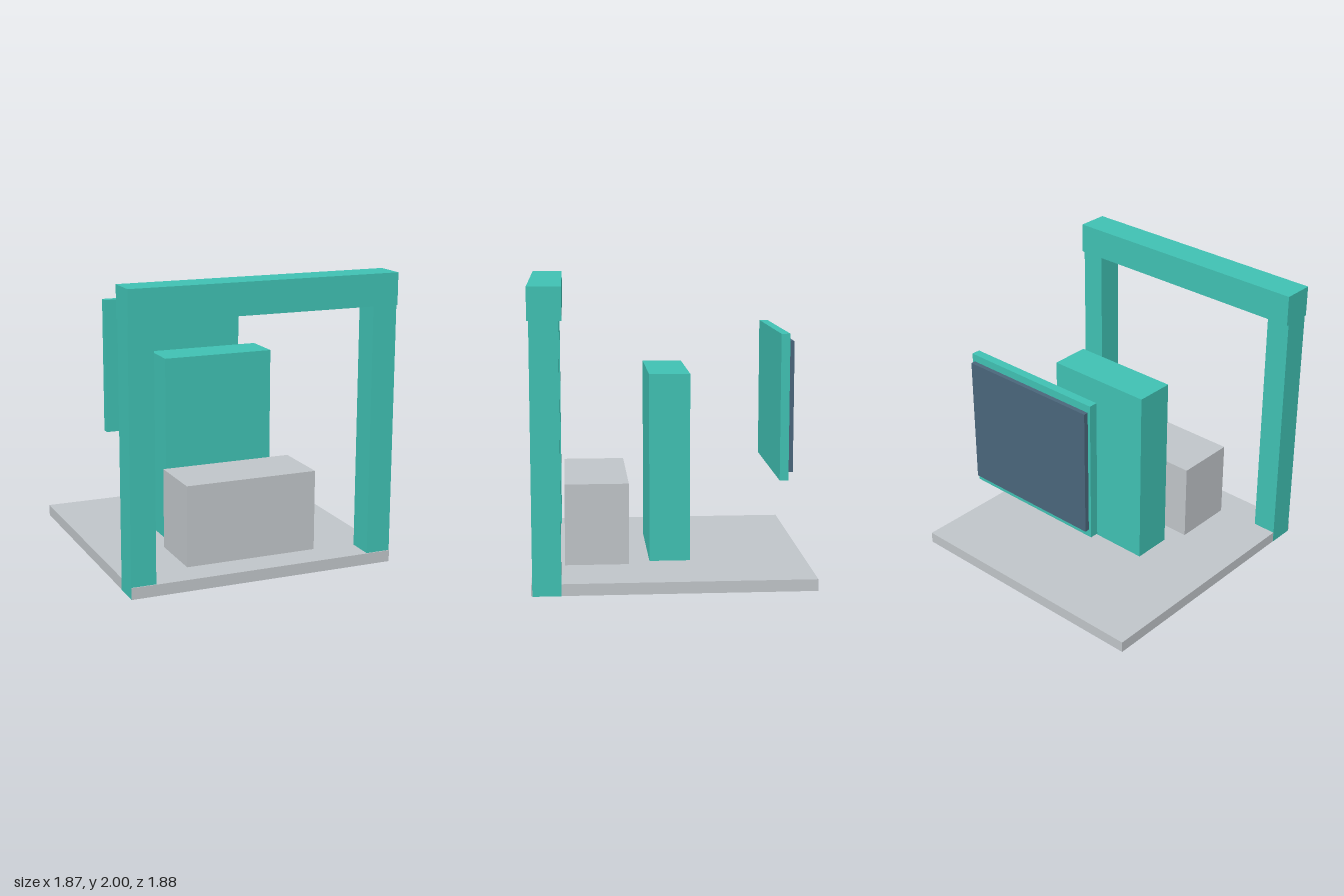
import * as THREE from 'three';

const material = (name, color) => {
  const m = new THREE.MeshStandardMaterial({ color });
  m.name = name;
  return m;
};

export function createModel() {
  const teal = material('teal', 0x40c1b3);
  const grey = material('light grey', 0xc0c5c9);
  const slate = material('slate blue', 0x4a667b);
  const model = new THREE.Group();
  model.name = 'gateStand';

  // Box given by its extents along each axis
  const box = (name, mat, [x0, x1], [y0, y1], [z0, z1]) => {
    const mesh = new THREE.Mesh(new THREE.BoxGeometry(x1 - x0, y1 - y0, z1 - z0), mat);
    mesh.position.set((x0 + x1) / 2, (y0 + y1) / 2, (z0 + z1) / 2);
    mesh.name = name;
    model.add(mesh);
  };

  // Floor slab and counter block
  box('floorSlab', grey, [-0.935, 0.935], [0.001, 0.08], [-0.94, 0.935]);
  box('counter', grey, [-0.468, 0.468], [0.07, 0.64], [0.28, 0.715]);

  // Front gate: two posts set flush through the slab, and a beam
  box('leftPost', teal, [0.765, 0.936], [0, 1.79], [0.74, 0.928]);
  box('rightPost', teal, [-0.936, -0.765], [0, 1.79], [0.74, 0.928]);
  box('beam', teal, [-0.937, 0.937], [1.785, 2], [0.72, 0.94]);

  // Central wall, reaching down through the slab
  box('wall', teal, [-0.395, 0.395], [0, 1.375], [-0.142, 0.137]);

  // Rear panel with a dark screen on its back
  box('panel', teal, [-0.533, 0.533], [0.66, 1.655], [-0.798, -0.738]);
  box('screen', slate, [-0.513, 0.513], [0.713, 1.603], [-0.83, -0.798]);

  return model;
}
